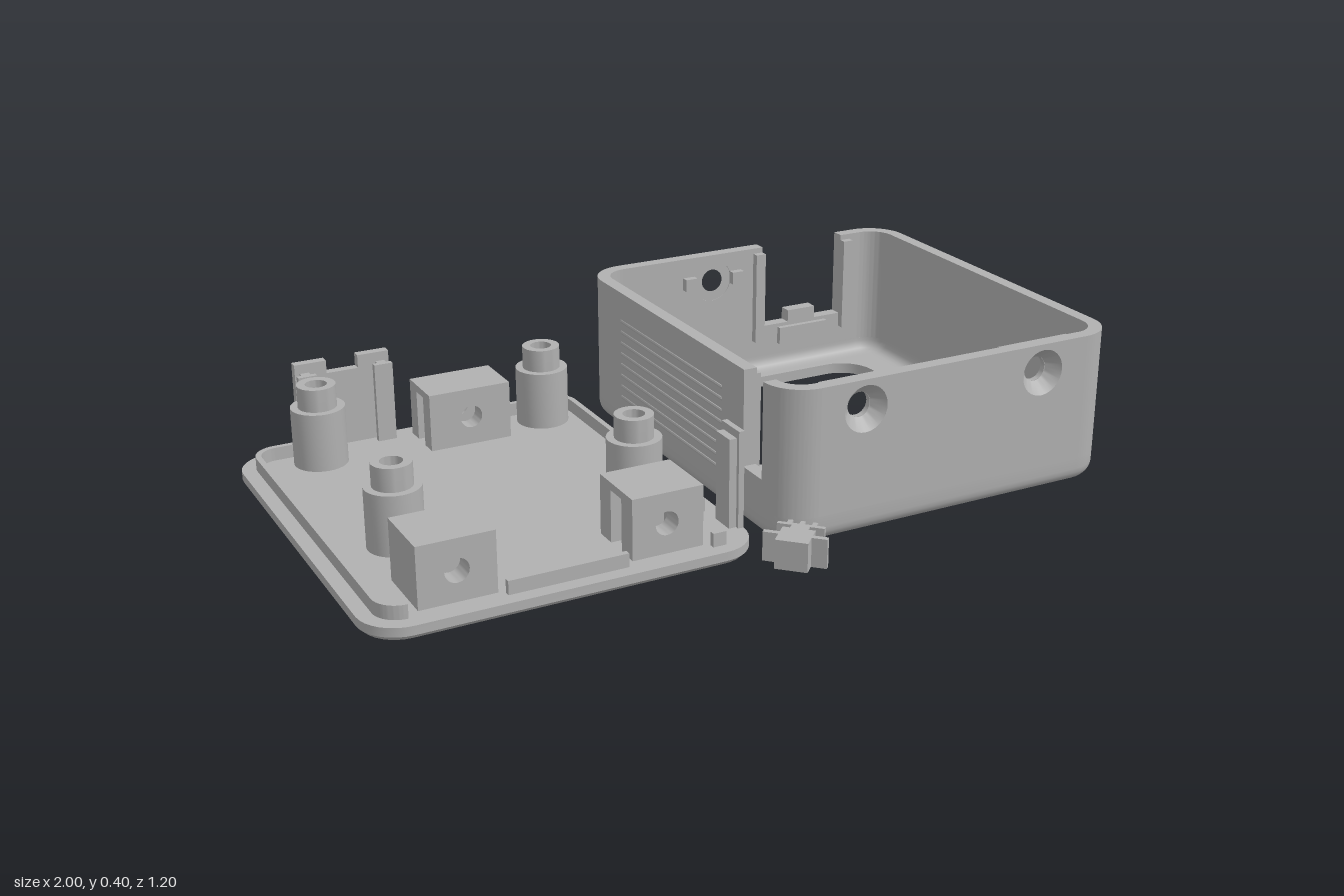
import * as THREE from 'three';
import { toCreasedNormals } from 'three/addons/utils/BufferGeometryUtils.js';

const plastic = new THREE.MeshStandardMaterial({ color: 0xb0b0b0, side: THREE.DoubleSide });
plastic.name = 'grey plastic';

const V = (x, y) => new THREE.Vector2(x, y);

function add(group, name, geo, x = 0, y = 0, z = 0) {
  const mesh = new THREE.Mesh(toCreasedNormals(geo, 0.6), plastic);
  mesh.name = name;
  mesh.position.set(x, y, z);
  group.add(mesh);
  return mesh;
}

function box(group, name, x0, x1, y0, y1, z0, z1) {
  return add(group, name, new THREE.BoxGeometry(x1 - x0, y1 - y0, z1 - z0),
    (x0 + x1) / 2, (y0 + y1) / 2, (z0 + z1) / 2);
}

const extrude = (shape, depth) =>
  new THREE.ExtrudeGeometry(shape, { depth, bevelEnabled: false, curveSegments: 16 });

// Shape in (x, z), extruded from y0 to y1
const slab = (group, name, shape, y0, y1) =>
  add(group, name, extrude(shape, y1 - y0).rotateX(Math.PI / 2), 0, y1, 0);
// Shape in (x, y), extruded from z0 to z1
const panel = (group, name, shape, z0, z1) => add(group, name, extrude(shape, z1 - z0), 0, 0, z0);
// Shape in (z, y), extruded from x0 to x1
const sidePanel = (group, name, shape, x0, x1) =>
  add(group, name, extrude(shape, x1 - x0).rotateY(-Math.PI / 2), x1, 0, 0);

const poly = (pts) => new THREE.Shape(pts.map(([a, b]) => V(a, b)));
const rect = (a0, a1, b0, b1) => poly([[a0, b0], [a1, b0], [a1, b1], [a0, b1]]);

function punch(shape, x, y, r) {
  const p = new THREE.Path();
  p.absarc(x, y, r, 0, Math.PI * 2, true);
  shape.holes.push(p);
  return shape;
}

// Rounded rectangle outline with a constant point count
function outline([x0, x1, z0, z1], r, inset = 0, n = 8) {
  const pts = [];
  const centres = [[x1 - r, z1 - r], [x0 + r, z1 - r], [x0 + r, z0 + r], [x1 - r, z0 + r]];
  centres.forEach(([cx, cz], c) => {
    for (let i = 0; i <= n; i++) {
      const a = (c + i / n) * Math.PI / 2;
      pts.push(V(cx + (r - inset) * Math.cos(a), cz + (r - inset) * Math.sin(a)));
    }
  });
  return pts;
}

// Sweep a profile of [inset, y] around a rounded rectangle
function rim(rectangle, r, profile) {
  const pos = [], idx = [];
  const loops = profile.map(([inset]) => outline(rectangle, r, inset));
  const n = loops[0].length;
  loops.forEach((loop, j) => loop.forEach((p) => pos.push(p.x, profile[j][1], p.y)));
  for (let j = 0; j < profile.length - 1; j++) {
    for (let i = 0; i < n; i++) {
      const k = (i + 1) % n, a = j * n, b = a + n;
      idx.push(a + i, b + i, a + k, b + i, b + k, a + k);
    }
  }
  const g = new THREE.BufferGeometry();
  g.setAttribute('position', new THREE.Float32BufferAttribute(pos, 3));
  g.setIndex(idx);
  return g;
}

// Quarter ring in plan for corner walls, c = quadrant
function cornerArc(cx, cz, rOut, rIn, c) {
  const s = new THREE.Shape(), a = c * Math.PI / 2, b = a + Math.PI / 2;
  s.absarc(cx, cz, rOut, a, b, false);
  s.absarc(cx, cz, rIn, b, a, true);
  return s;
}

function buildShell() {
  const g = new THREE.Group();
  g.name = 'caseShell';
  const R = [0.02, 0.997, -0.6, 0.475], r = 0.1, t = 0.035, low = 0.07, top = 0.4;
  const [x0, x1, z0, z1] = R;

  // Filleted lower edge, inside and out
  const profile = [[0.08, 0]];
  for (let i = 0; i <= 5; i++) {
    const a = i / 5 * Math.PI / 2;
    profile.push([0.04 - 0.04 * Math.sin(a), 0.04 - 0.04 * Math.cos(a)]);
  }
  profile.push([0, low], [t, low]);
  for (let i = 0; i <= 4; i++) {
    const a = i / 4 * Math.PI / 2;
    profile.push([0.065 - 0.03 * Math.cos(a), 0.06 - 0.03 * Math.sin(a)]);
  }
  profile.push([0.08, 0.03]);
  add(g, 'lowerEdge', rim(R, r, profile));

  // Face with the rounded window
  const face = new THREE.Shape(outline(R, r, 0.08));
  face.holes.push(new THREE.Path(outline([0.167, 0.848, -0.5, 0.075], 0.095).reverse()));
  slab(g, 'windowFace', face, 0, 0.03);

  // Corner walls
  [[x1 - r, z1 - r], [x0 + r, z1 - r], [x0 + r, z0 + r], [x1 - r, z0 + r]].forEach(([cx, cz], c) =>
    slab(g, 'cornerWall', cornerArc(cx, cz, r, r - t, c), low, top));

  // Front wall with two screw holes and inner pads
  const front = rect(x0 + r, x1 - r, low, top);
  const screw = (x, y, z, dir) => {
    const cone = new THREE.LatheGeometry([V(0.06, 0), V(0.032, 0.033), V(0.06, 0.033)], 28);
    add(g, 'countersink', cone.rotateX(dir * Math.PI / 2), x, y, z);
  };
  for (const x of [0.245, 0.765]) {
    punch(front, x, 0.325, 0.06);
    screw(x, 0.325, z1, -1);
    panel(g, 'screwPad', punch(rect(x - 0.105, x + 0.105, 0.24, 0.395), x, 0.325, 0.032), 0.425, z1 - t);
  }
  panel(g, 'frontWall', front, z1 - t, z1);

  // Back wall with a stepped socket opening and a screw hole
  const back = poly([[x0 + r, low], [x1 - r, low], [x1 - r, top], [0.83, top], [0.83, 0.16],
    [0.745, 0.16], [0.745, 0.195], [0.655, 0.195], [0.655, 0.16], [0.565, 0.16], [0.565, top], [x0 + r, top]]);
  panel(g, 'backWall', punch(back, 0.4, 0.325, 0.06), z0, z0 + t);
  screw(0.4, 0.325, z0, 1);
  for (const x of [0.325, 0.475]) box(g, 'locatingNub', x - 0.018, x + 0.018, 0.31, 0.345, z0 + t, -0.545);
  for (const x of [0.55, 0.845]) box(g, 'socketRail', x - 0.015, x + 0.015, 0.12, 0.385, z0 + t, -0.545);
  box(g, 'socketSill', 0.62, 0.78, 0.1, 0.15, z0 + t, -0.55);

  // Side walls, one with a slot beside the front corner
  sidePanel(g, 'leftWall', rect(z0 + r, z1 - r, low, top), x1 - t, x1);
  sidePanel(g, 'rightWall', poly([[z0 + r, low], [z1 - r, low], [z1 - r, 0.15], [0.285, 0.15],
    [0.285, top], [z0 + r, top]]), x0, x0 + t);
  box(g, 'slotRail', x0 + t, x0 + t + 0.012, 0.12, 0.385, 0.265, 0.285);

  // Raised ribs on both sides
  for (const x of [x0 + 0.004, x1 - 0.004]) {
    for (let i = 0; i < 8; i++) {
      const rib = new THREE.CapsuleGeometry(0.007, 0.55, 4, 10).rotateX(Math.PI / 2);
      add(g, 'sideRib', rib, x, 0.103 + i * 0.031, -0.1025);
    }
  }
  return g;
}

// Screw block with a bore and a nut slot opening to one side
function nutBlock(g, x0, x1, z0, z1, holeX, slotSide) {
  const bored = () => punch(rect(x0, x1, 0.035, 0.19), holeX, 0.112, 0.03);
  const d = (z1 - z0) / 3, a = z0 + d, b = z1 - d;
  panel(g, 'blockRear', bored(), z0, a);
  panel(g, 'blockFront', bored(), b, z1);
  box(g, 'blockCap', x0, x1, 0.17, 0.19, a, b);
  if (slotSide > 0) box(g, 'blockWeb', x0, holeX - 0.05, 0.035, 0.17, a, b);
  else box(g, 'blockWeb', holeX + 0.05, x1, 0.035, 0.17, a, b);
}

function buildBase() {
  const g = new THREE.Group();
  g.name = 'basePlate';
  const R = [-1, -0.028, -0.6, 0.475], r = 0.1, h = 0.035;
  add(g, 'plateEdge', rim(R, r, [[0.03, 0], [0.012, 0], [0, 0.012], [0, h], [0.03, h]]));

  // Plate and hollow stepped posts
  const plate = new THREE.Shape(outline(R, r, 0.03));
  const post = [[0.07, h], [0.07, 0.19], [0.05, 0.19], [0.05, 0.25], [0.028, 0.25],
    [0.028, 0.15], [0.055, 0.15], [0.055, 0]].map(([a, b]) => V(a, b));
  for (const x of [-0.797, -0.17]) {
    for (const z of [-0.487, 0.075]) {
      punch(plate, x, z, 0.055);
      add(g, 'screwPost', new THREE.LatheGeometry(post, 32), x, 0, z);
    }
  }
  slab(g, 'plate', plate, 0, h);

  // Locating lip just inside the edge
  const lipTop = 0.07, w = 0.015, i = 0.037;
  const lx = R[0] + i, rx = R[1] - i, bz = R[2] + i, fz = R[3] - i, cr = r - i;
  box(g, 'lip', lx, lx + w, h, lipTop, bz + cr, fz - cr);
  box(g, 'lip', rx - w, rx, h, lipTop, bz + cr, 0.25);
  box(g, 'lip', -0.295, rx - cr, h, lipTop, bz, bz + w);
  box(g, 'lip', lx + cr, -0.83, h, lipTop, bz, bz + w);
  box(g, 'lip', -0.665, -0.365, h, lipTop, fz - w, fz);
  box(g, 'lip', -0.145, -0.11, h, lipTop, fz - w, fz);
  [[lx + cr, fz - cr, 1], [lx + cr, bz + cr, 2], [rx - cr, bz + cr, 3]].forEach(([x, z, c]) =>
    slab(g, 'lipCorner', cornerArc(x, z, cr, cr - w, c), h, lipTop));

  // Three screw blocks
  nutBlock(g, -0.87, -0.68, 0.245, 0.415, -0.775, 1);
  nutBlock(g, -0.345, -0.16, 0.245, 0.415, -0.255, -1);
  nutBlock(g, -0.52, -0.295, -0.56, -0.415, -0.405, -1);

  // Upright that fills the socket opening
  panel(g, 'socketUpright', poly([[-0.825, h], [-0.57, h], [-0.57, 0.275], [-0.655, 0.275],
    [-0.655, 0.24], [-0.74, 0.24], [-0.74, 0.275], [-0.825, 0.275]]), -0.6, -0.575);
  for (const x of [-0.8, -0.595]) {
    box(g, 'uprightRail', x - 0.012, x + 0.012, h, 0.25, -0.575, -0.56);
    box(g, 'uprightHook', x - 0.025, x + 0.025, h, 0.25, -0.56, -0.545);
  }

  // Tab that fills the side slot
  box(g, 'sideTab', -0.043, -0.028, h, 0.285, 0.29, 0.375);
  box(g, 'sideTabBacking', -0.063, -0.043, h, 0.265, 0.3, 0.365);
  return g;
}

// Small loose slider, turned by 45 degrees
function buildSlider() {
  const g = new THREE.Group();
  g.name = 'slider';
  const top = 0.075;
  box(g, 'sliderBody', -0.04, 0.04, 0, top, -0.035, 0.04);
  box(g, 'sliderArms', -0.078, 0.078, 0, top, -0.008, 0.006);
  box(g, 'sliderNeck', -0.022, 0.022, 0, top, -0.05, -0.035);
  box(g, 'sliderBar', -0.058, 0.058, 0, top, -0.062, -0.05);
  for (let i = -1; i <= 1; i++) box(g, 'sliderTooth', i * 0.03 - 0.006, i * 0.03 + 0.006, 0, top, -0.078, -0.062);
  g.rotation.y = -Math.PI / 4;
  g.position.set(0.017, 0, 0.54);
  return g;
}

export function createModel() {
  const model = new THREE.Group();
  model.name = 'twoPartEnclosure';
  model.add(buildShell(), buildBase(), buildSlider());
  return model;
}
